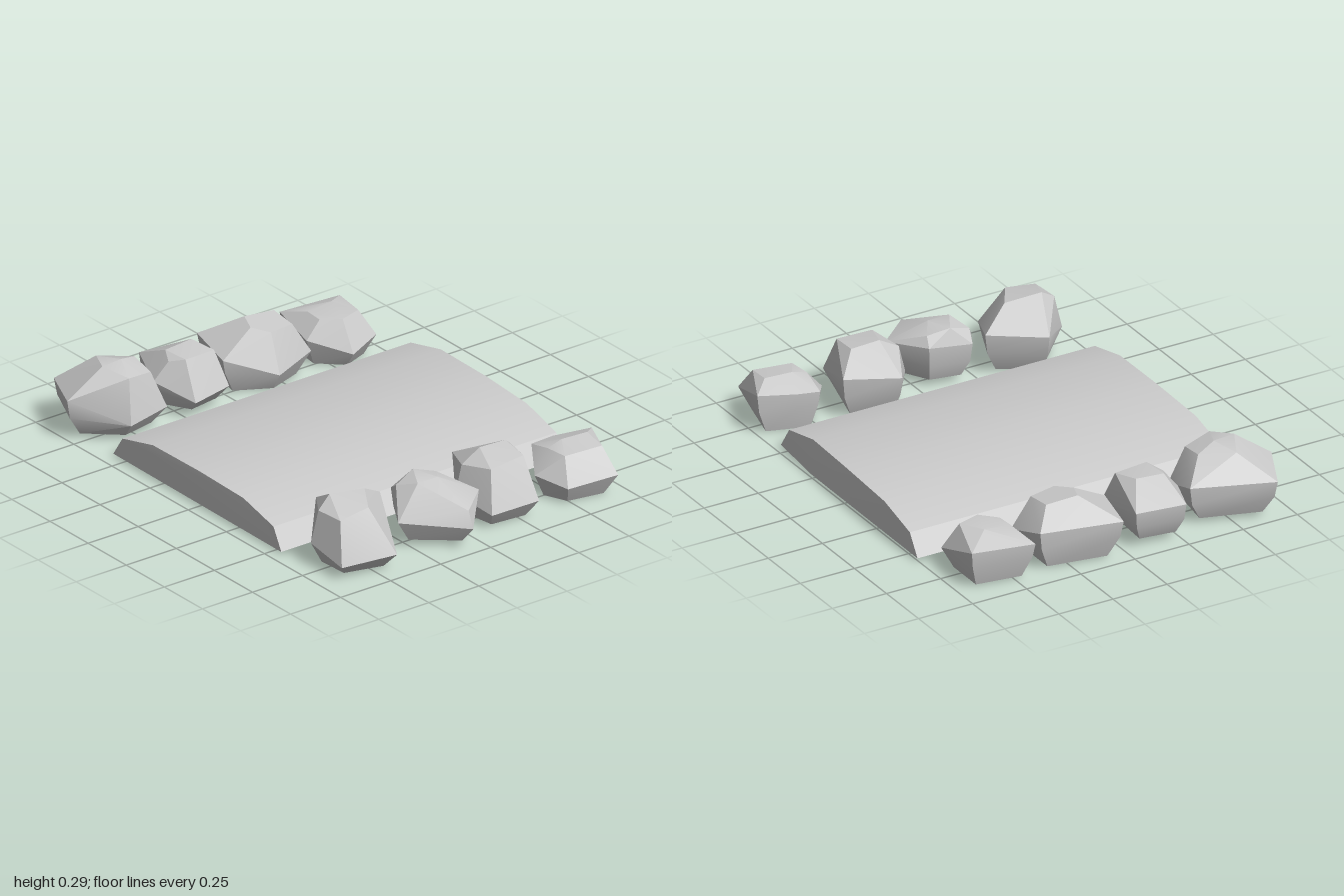
import * as THREE from 'three';
import { ConvexGeometry } from 'three/addons/geometries/ConvexGeometry.js';
import { toCreasedNormals } from 'three/addons/utils/BufferGeometryUtils.js';

const material = new THREE.MeshStandardMaterial({ color: 0xcccccc });

function hull(name, points, crease) {
  const mesh = new THREE.Mesh(toCreasedNormals(new ConvexGeometry(points), crease), material);
  mesh.name = name;
  return mesh;
}

// Rock: widest outline [x, y, z], chiselled top [x, y, z], and a shrunken base at height baseY
function rock(name, baseY, outline, top) {
  const points = [...outline, ...top].map((p) => new THREE.Vector3(...p));
  const rim = points.slice(0, outline.length);
  const centre = new THREE.Vector3();
  rim.forEach((p) => centre.addScaledVector(p, 1 / rim.length));
  const inset = (p, scale, y) => new THREE.Vector3(
    centre.x + (p.x - centre.x) * scale, y, centre.z + (p.z - centre.z) * scale);
  for (const p of rim) {
    if (p.y > 0.13) points.push(inset(p, 0.94, 0.1)); // blunt the high corners
    points.push(inset(p, 0.72, baseY));
  }
  return hull(name, points, 0.4);
}

export function createModel() {
  const group = new THREE.Group();

  // Path slab: profile [z, y, left x, right x] with bevelled long edges and a crowned top
  const profile = [
    [-0.57, 0.01, -0.69, 0.75], [-0.51, 0.1, -0.69, 0.75], [-0.31, 0.148, -0.69, 0.748],
    [0, 0.153, -0.692, 0.737], [0.29, 0.148, -0.695, 0.722], [0.49, 0.1, -0.697, 0.715],
    [0.545, 0.01, -0.7, 0.72], [0.27, 0.01, -0.697, 0.746],
  ];
  const ends = profile.flatMap(([z, y, left, right]) =>
    [new THREE.Vector3(left, y, z), new THREE.Vector3(right, y, z)]);
  group.add(hull('pathSlab', ends, 0.3));

  // Front row of edging rocks, from -x to +x
  group.add(
    rock('frontRock1', 0.01,
      [[-0.5, 0.18, 0.51], [-0.28, 0.19, 0.64], [-0.43, 0.075, 0.95], [-0.66, 0.06, 0.89], [-0.67, 0.1, 0.7]],
      [[-0.64, 0.24, 0.71], [-0.57, 0.285, 0.69], [-0.41, 0.27, 0.71], [-0.49, 0.26, 0.84], [-0.63, 0.24, 0.84]]),
    rock('frontRock2', 0.03,
      [[-0.21, 0.18, 0.62], [-0.03, 0.19, 0.655], [0.07, 0.17, 0.83], [-0.08, 0.1, 0.99], [-0.31, 0.12, 0.8]],
      [[-0.23, 0.22, 0.68], [-0.13, 0.255, 0.66], [-0.04, 0.23, 0.69], [-0.09, 0.25, 0.77], [-0.19, 0.25, 0.77],
        [-0.08, 0.17, 0.96]]),
    rock('frontRock3', 0.005,
      [[0.18, 0.18, 0.51], [0.4, 0.19, 0.6], [0.31, 0.08, 0.91], [0.09, 0.07, 0.89], [0.06, 0.1, 0.69]],
      [[0.09, 0.22, 0.69], [0.18, 0.27, 0.69], [0.31, 0.265, 0.69], [0.3, 0.25, 0.82], [0.13, 0.24, 0.83]]),
    rock('frontRock4', 0.0,
      [[0.5, 0.16, 0.61], [0.6, 0.17, 0.62], [0.755, 0.18, 0.67], [0.69, 0.09, 0.93], [0.47, 0.075, 0.89], [0.41, 0.1, 0.75]],
      [[0.49, 0.19, 0.73], [0.56, 0.21, 0.73], [0.68, 0.21, 0.74], [0.67, 0.195, 0.85], [0.5, 0.19, 0.83]]),
  );

  // Back row of edging rocks, from -x to +x
  group.add(
    rock('backRock1', 0.02,
      [[-0.66, 0.17, -1], [-0.32, 0.18, -0.89], [-0.36, 0.09, -0.65], [-0.57, 0.08, -0.61], [-0.76, 0.18, -0.78]],
      [[-0.54, 0.28, -0.88], [-0.41, 0.27, -0.8], [-0.42, 0.25, -0.68], [-0.55, 0.27, -0.65], [-0.6, 0.295, -0.76],
        [-0.5, 0.295, -0.77]]),
    rock('backRock2', 0.03,
      [[-0.25, 0.17, -0.98], [-0.035, 0.17, -0.95], [-0.05, 0.09, -0.65], [-0.24, 0.08, -0.62], [-0.33, 0.14, -0.78]],
      [[-0.24, 0.24, -0.82], [-0.11, 0.25, -0.82], [-0.08, 0.235, -0.71], [-0.23, 0.24, -0.7], [-0.27, 0.22, -0.76]]),
    rock('backRock3', 0.005,
      [[0.04, 0.17, -0.98], [0.39, 0.18, -0.92], [0.39, 0.1, -0.69], [0.18, 0.08, -0.62], [-0.02, 0.16, -0.73]],
      [[0.17, 0.26, -0.84], [0.31, 0.25, -0.83], [0.31, 0.235, -0.71], [0.19, 0.24, -0.69], [0.14, 0.25, -0.76]]),
    rock('backRock4', 0.005,
      [[0.43, 0.16, -0.95], [0.7, 0.17, -0.91], [0.7, 0.09, -0.67], [0.54, 0.07, -0.61], [0.405, 0.12, -0.74]],
      [[0.47, 0.2, -0.82], [0.59, 0.21, -0.82], [0.64, 0.2, -0.71], [0.54, 0.2, -0.68], [0.47, 0.195, -0.74]]),
  );

  return group;
}
